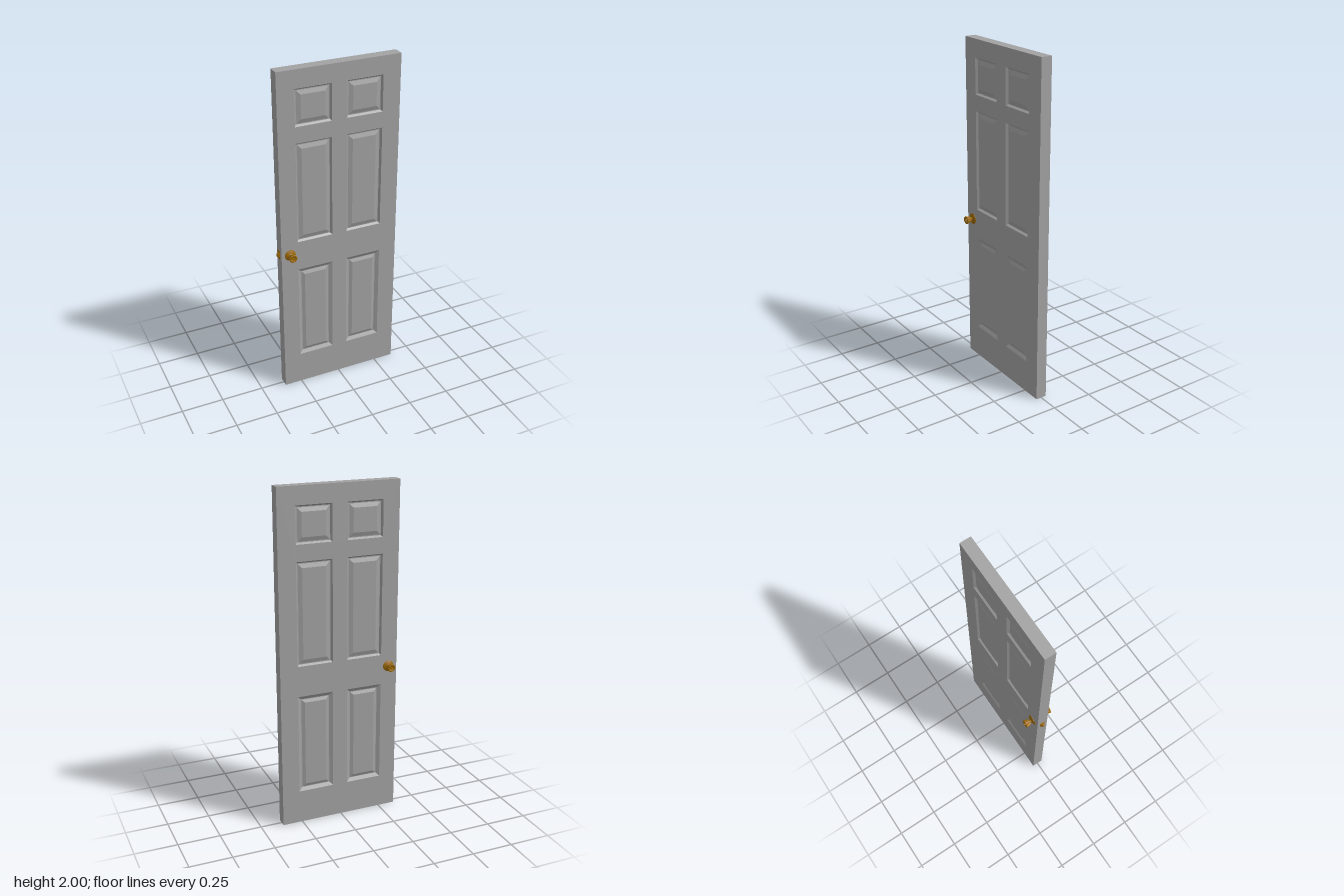
import * as THREE from 'three';

const HALF = 0.033; // half the door thickness
const KNOB = { x: -0.302, y: 0.912 };

// Unshared vertices give every facet its own normal
function faceted(geo) {
  const g = geo.index ? geo.toNonIndexed() : geo;
  g.computeVertexNormals();
  return g;
}

function rect(Type, x0, y0, x1, y1) {
  const p = new Type();
  p.moveTo(x0, y0);
  p.lineTo(x1, y0);
  p.lineTo(x1, y1);
  p.lineTo(x0, y1);
  p.closePath();
  return p;
}

// Moulded panel: nested rectangles, each [inset, depth], closed by a flat field
function panelGeometry(w, h, steps) {
  const rings = steps.map(([inset, depth]) => {
    const a = w / 2 - inset, b = h / 2 - inset;
    return [[-a, -b, depth], [a, -b, depth], [a, b, depth], [-a, b, depth]];
  });
  const pos = [];
  const quad = (a, b, c, d) => pos.push(...a, ...b, ...c, ...a, ...c, ...d);
  for (let r = 0; r < rings.length - 1; r++) {
    for (let i = 0; i < 4; i++) {
      const j = (i + 1) % 4;
      quad(rings[r][i], rings[r][j], rings[r + 1][j], rings[r + 1][i]);
    }
  }
  quad(...rings[rings.length - 1]);
  const g = new THREE.BufferGeometry();
  g.setAttribute('position', new THREE.Float32BufferAttribute(pos, 3));
  g.computeVertexNormals();
  return g;
}

function lathe(profile, sides) {
  const pts = profile.map(([r, z]) => new THREE.Vector2(r, z));
  return new THREE.LatheGeometry(pts, sides).rotateX(Math.PI / 2);
}

export function createModel() {
  const paint = new THREE.MeshStandardMaterial({ color: 0xa2a2a2 });
  paint.name = 'greyPaint';
  const brass = new THREE.MeshStandardMaterial({ color: 0x9c6a08 });
  brass.name = 'brass';

  const door = new THREE.Group();
  door.name = 'door';
  const add = (parent, name, geo, mat) => {
    const m = new THREE.Mesh(geo, mat);
    m.name = name;
    parent.add(m);
    return m;
  };

  // Panel layout: two columns, three rows
  const columns = [[-0.255, -0.04], [0.05, 0.265]];
  const narrow = [[0, 0], [0.009, -0.012], [0.014, -0.012], [0.037, -0.004]];
  const wide = [[0, 0], [0.02, -0.012], [0.024, -0.012], [0.042, -0.004]];
  const rows = [
    { y0: 1.683, y1: 1.895, steps: narrow },
    { y0: 0.985, y1: 1.588, steps: narrow },
    { y0: 0.202, y1: 0.803, steps: wide },
  ];

  // Slab with openings
  const slab = rect(THREE.Shape, -0.355, 0, 0.37, 2);
  for (const [x0, x1] of columns)
    for (const { y0, y1 } of rows) slab.holes.push(rect(THREE.Path, x0, y0, x1, y1));
  const slabGeo = new THREE.ExtrudeGeometry(slab, { depth: HALF * 2, bevelEnabled: false });
  add(door, 'slab', slabGeo.translate(0, 0, -HALF), paint);

  // Moulded panels on both faces
  for (const { y0, y1, steps } of rows) {
    for (const [x0, x1] of columns) {
      const geo = panelGeometry(x1 - x0, y1 - y0, steps);
      for (const side of [1, -1]) {
        const p = add(door, side > 0 ? 'frontPanel' : 'backPanel', geo, paint);
        p.position.set((x0 + x1) / 2, (y0 + y1) / 2, side * HALF);
        if (side < 0) p.rotation.y = Math.PI;
      }
    }
  }

  // Fluted grip with a dished face
  const grip = lathe([[0.008, 0.019], [0.017, 0.02], [0.021, 0.034], [0.025, 0.047],
    [0.023, 0.05], [0.018, 0.05], [0.007, 0.046]], 24);
  const gp = grip.attributes.position;
  for (let i = 0; i < gp.count; i++) {
    const x = gp.getX(i), y = gp.getY(i);
    const r = Math.hypot(x, y);
    if (r < 0.015) continue;
    const k = 0.95 + 0.05 * Math.cos(12 * Math.atan2(y, x));
    gp.setXY(i, x * k, y * k);
  }
  const knobParts = {
    rosette: lathe([[0.033, 0], [0.033, 0.002], [0.024, 0.006], [0.013, 0.01]], 20),
    neck: lathe([[0.013, 0.01], [0.009, 0.014], [0.009, 0.02]], 16),
    grip,
    button: lathe([[0.007, 0.044], [0.006, 0.055], [0, 0.055]], 12),
  };
  for (const side of [1, -1]) {
    const knob = new THREE.Group();
    knob.name = side > 0 ? 'frontKnob' : 'backKnob';
    for (const [name, geo] of Object.entries(knobParts)) add(knob, name, faceted(geo), brass);
    knob.position.set(KNOB.x, KNOB.y, side * HALF);
    if (side < 0) knob.rotation.y = Math.PI;
    door.add(knob);
  }

  // Latch on the door edge: plate and sloped bolt
  const latch = new THREE.Group();
  latch.name = 'latch';
  const plate = add(latch, 'latchPlate', new THREE.BoxGeometry(0.004, 0.052, 0.028), brass);
  plate.position.set(-0.356, KNOB.y, -0.002);
  const boltShape = new THREE.Shape([[-0.356, 0.012], [-0.37, 0.004], [-0.37, -0.007],
    [-0.356, -0.01]].map(([x, y]) => new THREE.Vector2(x, y)));
  const boltGeo = new THREE.ExtrudeGeometry(boltShape, { depth: 0.02, bevelEnabled: false });
  const bolt = add(latch, 'latchBolt', boltGeo.rotateX(-Math.PI / 2), brass);
  bolt.position.y = KNOB.y - 0.01;
  door.add(latch);

  return door;
}
